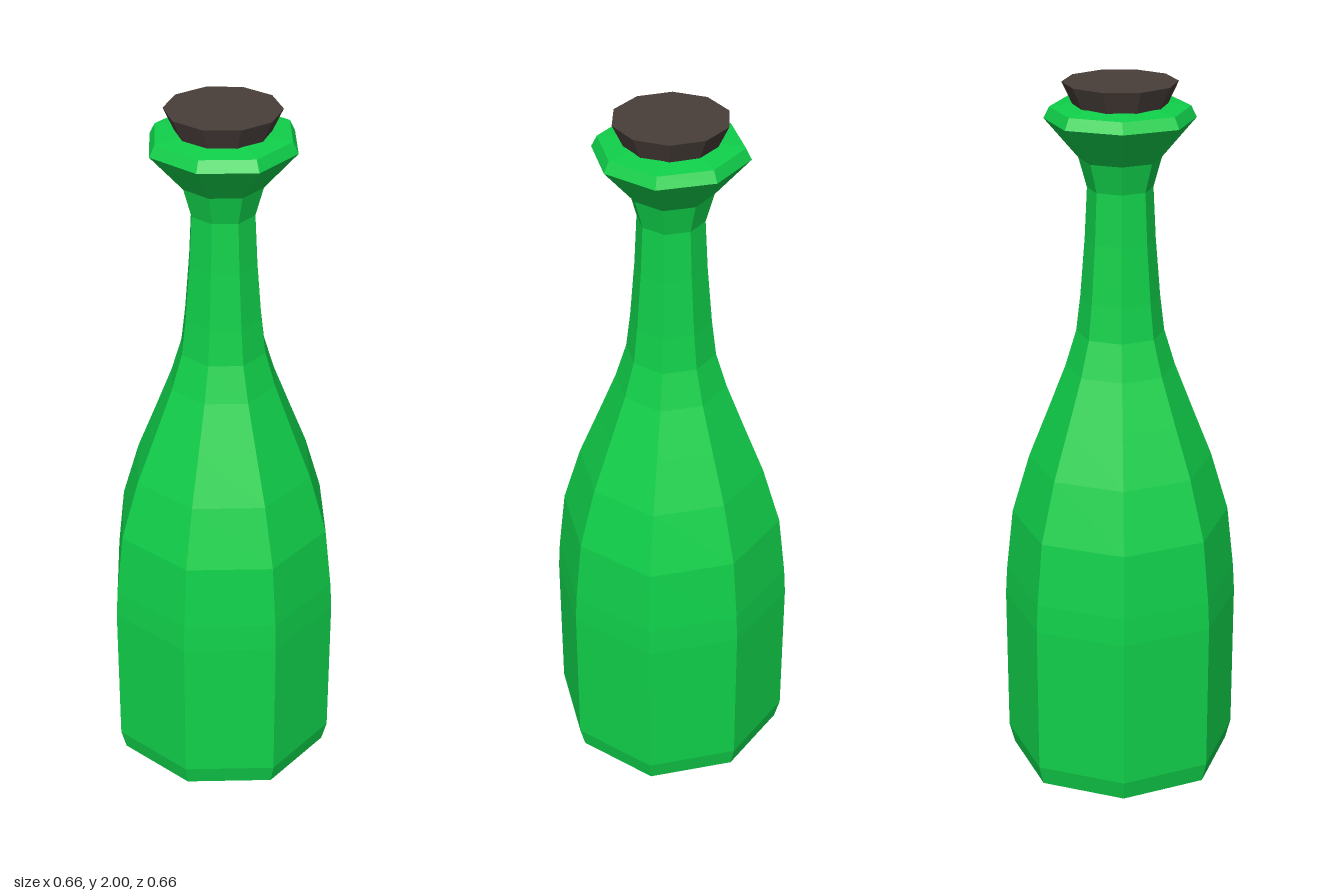
import * as THREE from 'three';

// Radius and height pairs, from the base centre up to the mouth
const PROFILE = [
  [0, 0], [0.22, 0.005], [0.315, 0.02], [0.33, 0.08], [0.33, 0.52], [0.325, 0.6],
  [0.305, 0.78], [0.255, 0.95], [0.2, 1.09], [0.15, 1.22], [0.12, 1.32],
  [0.108, 1.42], [0.095, 1.58], [0.088, 1.72], [0.11, 1.8], [0.2, 1.905],
  [0.185, 1.935], [0.1, 1.945], [0, 1.945],
];

export function createModel() {
  const group = new THREE.Group();

  // Eight-sided bottle body, shoulder, neck and flared lip
  const points = PROFILE.map(([r, y]) => new THREE.Vector2(r, y));
  const bodyGeometry = new THREE.LatheGeometry(points, 8);
  // Push the diagonal edges out slightly
  const pos = bodyGeometry.attributes.position;
  for (let i = 0; i < pos.count; i++) {
    const x = pos.getX(i), z = pos.getZ(i);
    if (Math.abs(x) > 0.01 && Math.abs(z) > 0.01) {
      pos.setX(i, x * 1.025);
      pos.setZ(i, z * 1.025);
    }
  }
  const bottle = new THREE.Mesh(
    bodyGeometry,
    new THREE.MeshStandardMaterial({ color: 0x10d04a, flatShading: true })
  );
  bottle.name = 'bottle';
  group.add(bottle);

  // Ten-sided tapered stopper seated in the mouth
  const stopper = new THREE.Mesh(
    new THREE.CylinderGeometry(0.152, 0.105, 0.1, 10),
    new THREE.MeshStandardMaterial({ color: 0x483e3a, flatShading: true })
  );
  stopper.position.y = 1.95;
  stopper.name = 'stopper';
  group.add(stopper);

  return group;
}
